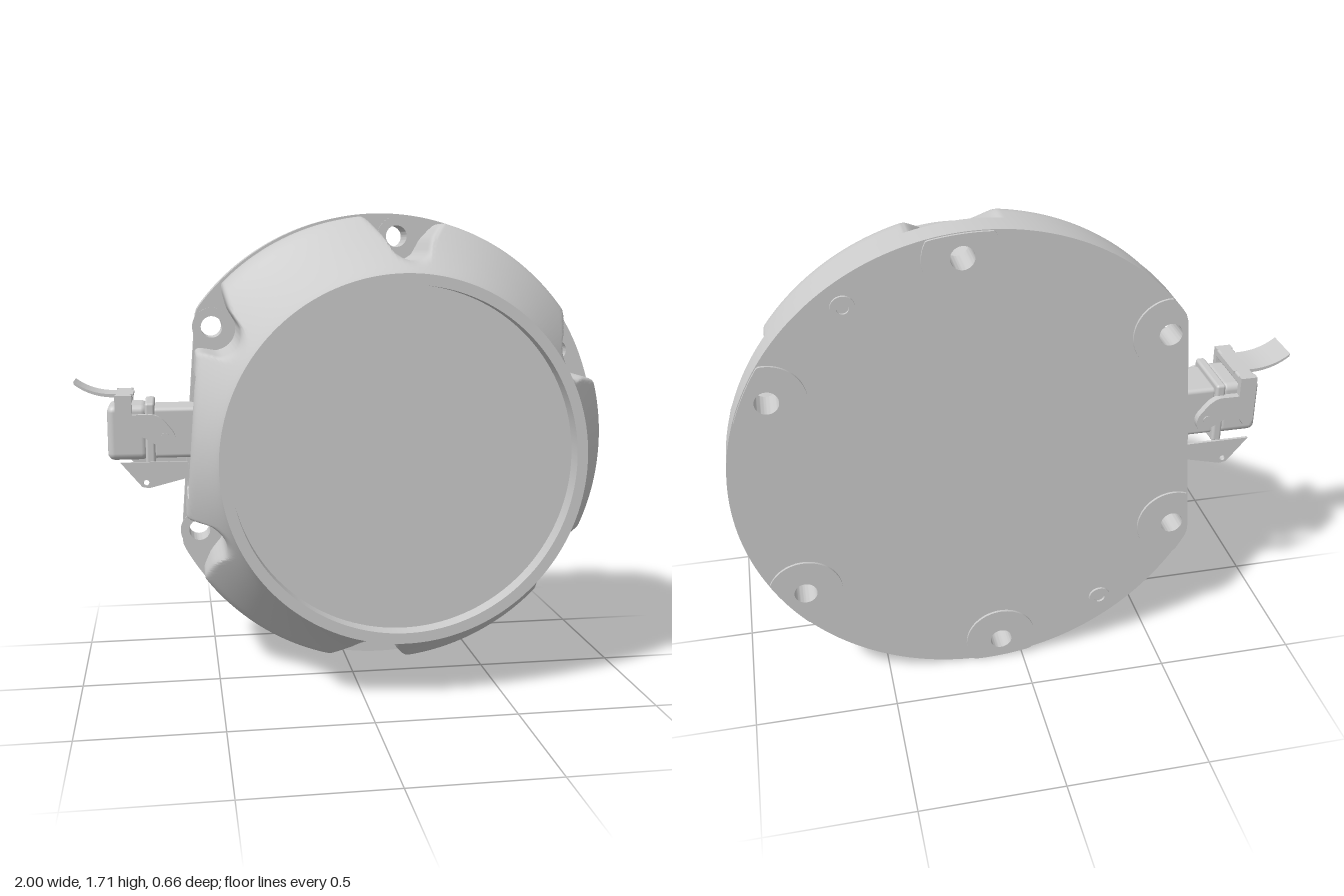
import * as THREE from 'three';
import { toCreasedNormals } from 'three/addons/utils/BufferGeometryUtils.js';
import { RoundedBoxGeometry } from 'three/addons/geometries/RoundedBoxGeometry.js';

const RIM = 0.857, BOLT_R = 0.775, FLAT = 0.735;
const rad = THREE.MathUtils.degToRad;
const FLAT_ANGLE = rad(175.6);
const BOLTS = [0, 1, 2, 3, 4, 5].map(k => rad(85.6 + 60 * k));
const mat = new THREE.MeshStandardMaterial({ color: 0xcccccc, side: THREE.DoubleSide });

const wrap = a => Math.atan2(Math.sin(a), Math.cos(a));
const smin = (a, b, k) => {
  const h = Math.max(k - Math.abs(a - b), 0) / k;
  return Math.min(a, b) - h * h * k / 4;
};

function add(parent, name, geo, x = 0, y = 0, z = 0) {
  const m = new THREE.Mesh(geo, mat);
  m.name = name;
  m.position.set(x, y, z);
  parent.add(m);
  return m;
}

function extrude(shape, depth, curveSegments = 32) {
  const g = new THREE.ExtrudeGeometry(shape, { depth, bevelEnabled: false, curveSegments });
  return toCreasedNormals(g, 0.5);
}

function shapeWithHoles(points, holes) {
  const s = new THREE.Shape(points);
  for (const [x, y, r] of holes) s.holes.push(new THREE.Path().absarc(x, y, r, 0, Math.PI * 2, true));
  return s;
}

// Rim radius: a circle with one flat side for the connector
function rimRadius(a, r = RIM, flat = FLAT) {
  const c = Math.cos(wrap(a - FLAT_ANGLE));
  return c > 0.3 ? smin(r, flat / c, 0.015) : r;
}

// Radius at which the nearest bolt pocket cuts into the housing
function pocketRadius(a) {
  const d = Math.min(...BOLTS.map(b => Math.abs(wrap(a - b))));
  const v = BOLT_R * d;
  if (v < 0.07) return BOLT_R - Math.sqrt(0.0081 - v * v);
  if (v < 0.09) return 0.718 + (v - 0.07) * 2.85;
  return 0.775 + (v - 0.09) * 1.64;
}

// Flared housing wall with pockets, flat side and connector window
function wallRadius(a, z) {
  const s = (0.33 - z) / 0.43;
  let r = smin(0.643 + 0.205 * Math.pow(s, 1.5), 0.848, 0.02);
  r = smin(r, rimRadius(a, 0.86, FLAT - 0.006), 0.015);
  r = smin(r, pocketRadius(a), 0.025);
  const f = wrap(a - FLAT_ANGLE);
  if (Math.abs(f) < 0.29 && z < 0.03 && z > -0.205) r = Math.min(r, 0.645 / Math.cos(f));
  return r;
}

function housingGeometry() {
  const N = 720, zs = [0.031, 0.029, -0.204, -0.206];
  for (let k = 0; k <= 28; k++) zs.push(0.33 - 0.55 * k / 28);
  zs.sort((p, q) => q - p);
  const rows = [[0.265, () => 0.605], [0.33, () => 0.605], ...zs.map(z => [z, a => wallRadius(a, z)])];
  const pos = [], idx = [];
  rows.forEach(([z, fn], i) => {
    for (let j = 0; j < N; j++) {
      const a = j / N * Math.PI * 2, r = fn(a);
      pos.push(r * Math.cos(a), r * Math.sin(a), z);
      if (i < rows.length - 1) {
        const p = i * N + j, q = i * N + (j + 1) % N;
        idx.push(p, p + N, q, p + N, q + N, q);
      }
    }
  });
  const g = new THREE.BufferGeometry();
  g.setAttribute('position', new THREE.Float32BufferAttribute(pos, 3));
  g.setIndex(idx);
  return toCreasedNormals(g, 0.6);
}

const polar = (r, a) => new THREE.Vector2(r * Math.cos(a), r * Math.sin(a));

function buildHousing() {
  const g = new THREE.Group();
  g.name = 'housing';
  add(g, 'flaredBody', housingGeometry());
  add(g, 'frontPanel', new THREE.CircleGeometry(0.605, 128), 0, 0, 0.265);

  // Flange with through holes
  const outline = [];
  for (let i = 0; i < 240; i++) {
    const a = i / 240 * Math.PI * 2;
    outline.push(polar(rimRadius(a), a));
  }
  const centres = BOLTS.map(a => polar(BOLT_R, a));
  const flange = shapeWithHoles(outline, centres.map(c => [c.x, c.y, 0.04]));
  add(g, 'backFlange', extrude(flange, 0.102), 0, 0, -0.322);

  for (const c of centres) {
    // Back pad, trimmed to the rim
    const pts = [];
    for (let i = 0; i < 64; i++) {
      const p = polar(0.13, i / 64 * Math.PI * 2).add(c);
      const lim = rimRadius(p.angle()) - 0.003;
      if (p.length() > lim) p.setLength(lim);
      pts.push(p);
    }
    add(g, 'backPad', extrude(shapeWithHoles(pts, [[c.x, c.y, 0.04]]), 0.009), 0, 0, -0.331);
    // Seat ring around the bolt hole
    const ring = new THREE.Shape().absarc(c.x, c.y, 0.072, 0, Math.PI * 2);
    ring.holes.push(new THREE.Path().absarc(c.x, c.y, 0.04, 0, Math.PI * 2, true));
    add(g, 'boltSeat', extrude(ring, 0.008), 0, 0, -0.221);
  }

  // Two small bosses on the back
  for (const a of [rad(55.6), rad(235.6)]) {
    const c = polar(BOLT_R, a);
    const boss = new THREE.Shape().absarc(c.x, c.y, 0.04, 0, Math.PI * 2);
    boss.holes.push(new THREE.Path().absarc(c.x, c.y, 0.02, 0, Math.PI * 2, true));
    add(g, 'smallBoss', extrude(boss, 0.01), 0, 0, -0.331);
  }
  g.position.set(0.14, 0.862, 0);
  return g;
}

function buildConnector() {
  const g = new THREE.Group();
  g.name = 'connector';
  const zc = -0.148;
  const box = (name, x0, x1, y0, y1, depth, r = 0.015) =>
    add(g, name, new RoundedBoxGeometry(x1 - x0, y1 - y0, depth, 3, r), (x0 + x1) / 2, (y0 + y1) / 2, zc);
  box('plugHood', -0.885, -0.74, 0.83, 1.03, 0.19, 0.025);
  box('plugCollar', -0.75, -0.715, 0.81, 1.04, 0.222, 0.01);
  box('socketBase', -0.725, -0.48, 0.835, 1.02, 0.185);
  box('mountingPlate', -0.52, -0.49, 0.74, 1.1, 0.2, 0.008);
  for (const y of [0.78, 1.06]) {
    const screw = add(g, 'plateScrew', new THREE.CylinderGeometry(0.018, 0.018, 0.02, 20), -0.525, y, zc);
    screw.rotation.z = Math.PI / 2;
  }

  // Locking lever: hooked side plates joined by a bridge and a curved tab
  const hook = new THREE.Shape();
  hook.moveTo(-0.855, 1.07);
  hook.lineTo(-0.855, 0.9);
  hook.quadraticCurveTo(-0.85, 0.875, -0.82, 0.88);
  hook.quadraticCurveTo(-0.795, 0.935, -0.75, 0.915);
  hook.quadraticCurveTo(-0.69, 0.87, -0.65, 0.885);
  hook.quadraticCurveTo(-0.63, 0.92, -0.665, 0.955);
  hook.quadraticCurveTo(-0.7, 1.005, -0.74, 1.0);
  hook.lineTo(-0.795, 1.0);
  hook.lineTo(-0.795, 1.07);
  // Lower bracket
  const bracket = shapeWithHoles([[-0.84, 0.83], [-0.765, 0.74], [-0.74, 0.735], [-0.6, 0.77], [-0.6, 0.83]]
    .map(p => new THREE.Vector2(...p)), [[-0.75, 0.755, 0.01]]);
  for (const s of [-1, 1]) {
    add(g, 'leverSide', extrude(hook, 0.026), 0, 0, zc + s * 0.118 - 0.013);
    add(g, 'sideBracket', extrude(bracket, 0.01), 0, 0, zc + s * 0.135 - 0.005);
    const pivot = add(g, 'leverPivot', new THREE.CylinderGeometry(0.014, 0.014, 0.05, 20), -0.68, 0.92, zc + s * 0.11);
    pivot.rotation.x = Math.PI / 2;
  }
  box('leverBridge', -0.855, -0.795, 1.035, 1.07, 0.25, 0.008);

  const tab = new THREE.Shape();
  tab.moveTo(-0.79, 1.07);
  tab.lineTo(-0.86, 1.07);
  tab.quadraticCurveTo(-0.94, 1.07, -1, 1.116);
  tab.lineTo(-0.998, 1.106);
  tab.quadraticCurveTo(-0.94, 1.06, -0.86, 1.058);
  tab.lineTo(-0.79, 1.058);
  add(g, 'leverTab', extrude(tab, 0.135), 0, 0, zc - 0.0675);
  return g;
}

export function createModel() {
  const model = new THREE.Group();
  model.name = 'roundHousingWithConnector';
  model.add(buildHousing(), buildConnector());
  return model;
}
